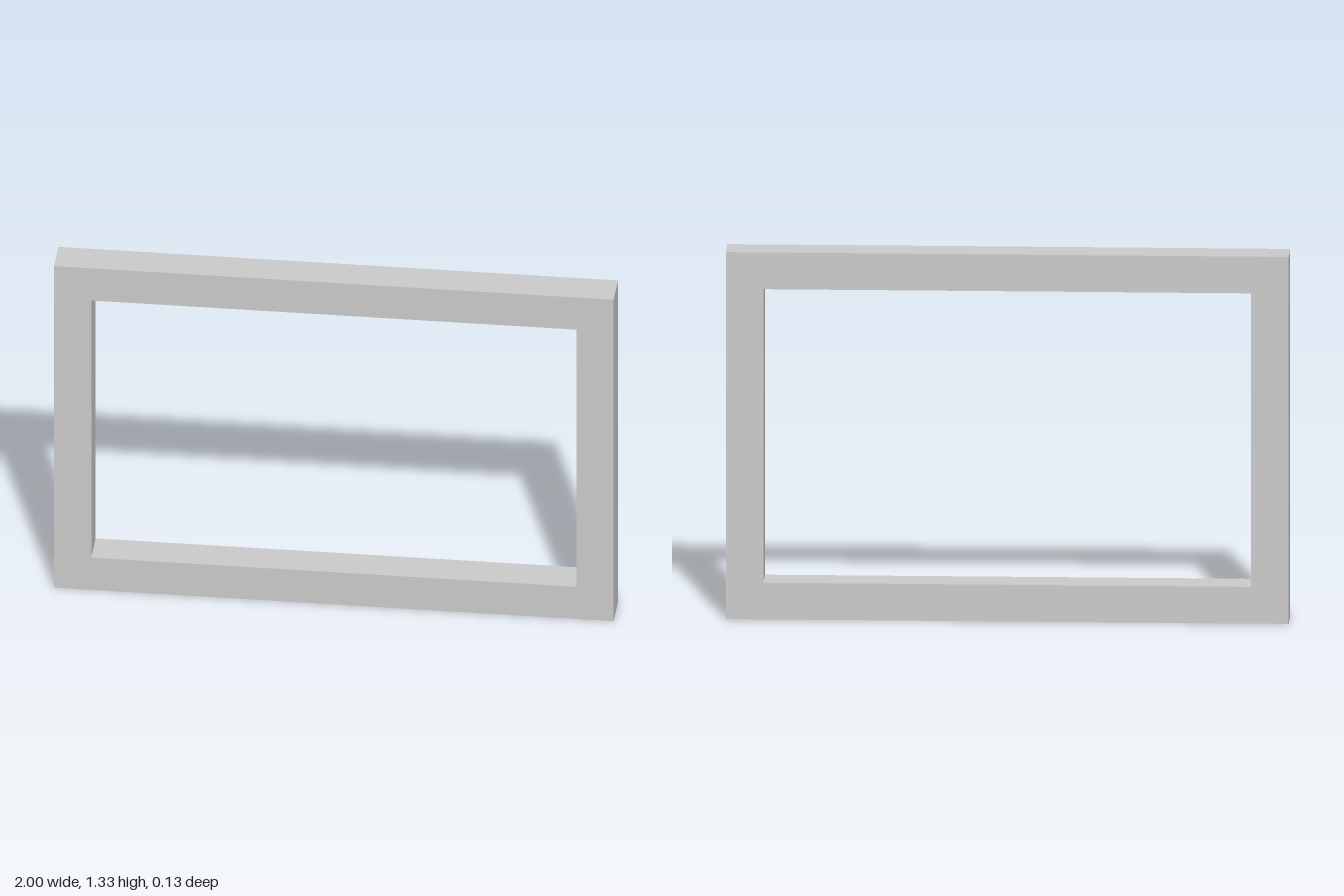
import * as THREE from 'three';

const WIDTH = 2, HEIGHT = 4 / 3, BORDER = 2 / 15, DEPTH = 2 / 15;

// Corners of a rectangle centred on x = 0, inset from the outer edge
function rectangle(inset) {
  const x = WIDTH / 2 - inset, y0 = inset, y1 = HEIGHT - inset;
  return [[-x, y0], [x, y0], [x, y1], [-x, y1]].map(([a, b]) => new THREE.Vector2(a, b));
}

export function createModel() {
  const group = new THREE.Group();
  group.name = 'rectangularFrame';

  // Outer outline with the opening cut through it
  const outline = new THREE.Shape(rectangle(0));
  outline.holes.push(new THREE.Path(rectangle(BORDER).reverse()));

  const geometry = new THREE.ExtrudeGeometry(outline, { depth: DEPTH, bevelEnabled: false });
  geometry.translate(0, 0, -DEPTH / 2);

  const frame = new THREE.Mesh(
    geometry,
    new THREE.MeshStandardMaterial({ color: 0xcccccc, flatShading: true })
  );
  frame.name = 'frame';
  group.add(frame);
  return group;
}
